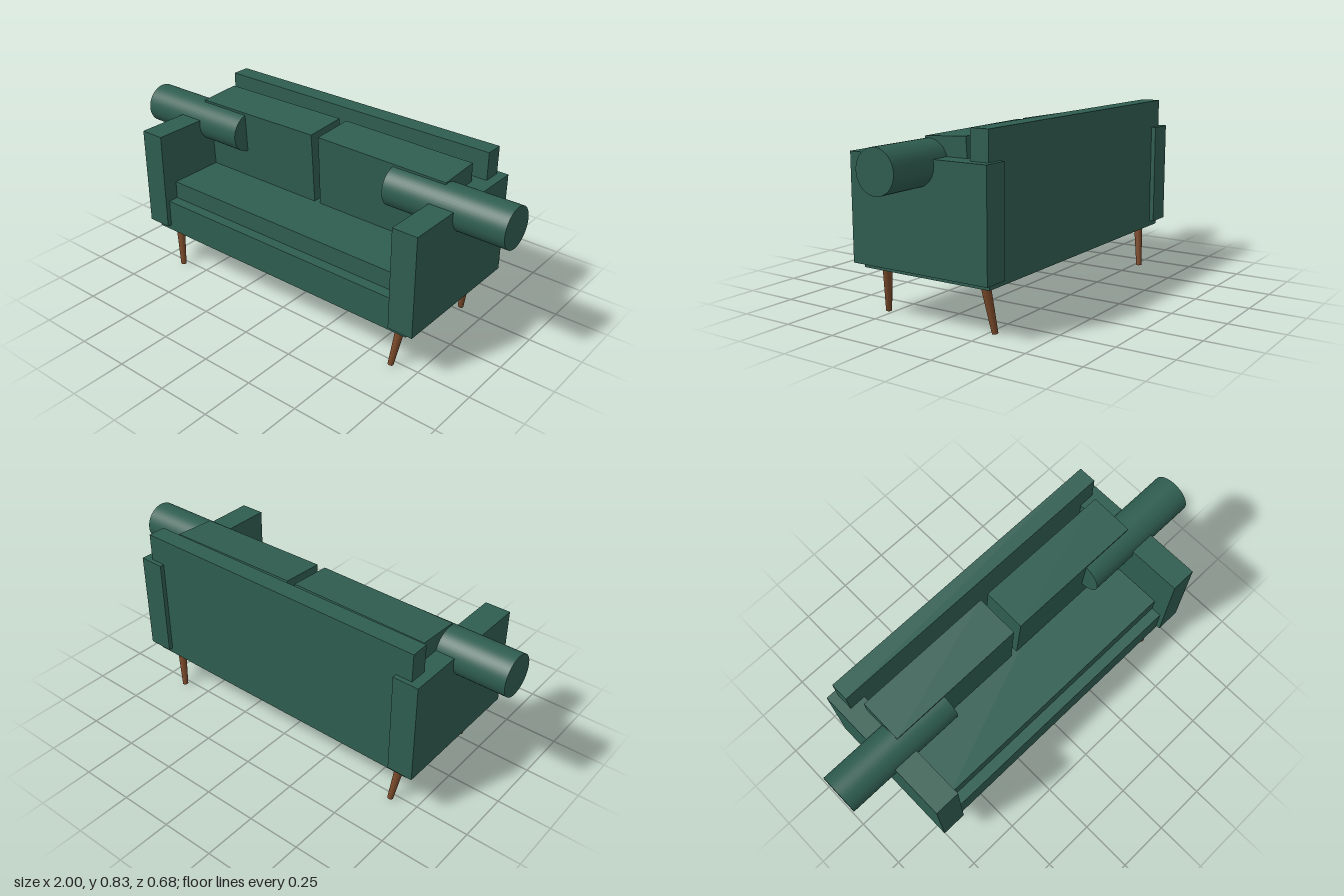
import * as THREE from 'three';

const fabric = new THREE.MeshStandardMaterial({ color: 0x2f5d50 });
const wood = new THREE.MeshStandardMaterial({ color: 0x7a4a2a });

// Box given by its extents on each axis
function box(name, [x0, x1], [y0, y1], [z0, z1]) {
  const mesh = new THREE.Mesh(new THREE.BoxGeometry(x1 - x0, y1 - y0, z1 - z0), fabric);
  mesh.position.set((x0 + x1) / 2, (y0 + y1) / 2, (z0 + z1) / 2);
  mesh.name = name;
  return mesh;
}

// Tapered leg running between two points
function leg(name, top, bottom) {
  const dir = top.clone().sub(bottom);
  const mesh = new THREE.Mesh(new THREE.CylinderGeometry(0.021, 0.013, dir.length(), 20), wood);
  mesh.position.copy(top).add(bottom).multiplyScalar(0.5);
  mesh.quaternion.setFromUnitVectors(new THREE.Vector3(0, 1, 0), dir.normalize());
  mesh.name = name;
  return mesh;
}

export function createModel() {
  const sofa = new THREE.Group();
  sofa.name = 'sofa';

  // Frame, backrest and seat
  sofa.add(
    box('base', [-0.725, 0.725], [0.207, 0.362], [-0.235, 0.32]),
    box('backrest', [-0.725, 0.725], [0.207, 0.83], [-0.32, -0.235]),
    box('seatCushion', [-0.65, 0.65], [0.362, 0.447], [-0.235, 0.27])
  );

  for (const s of [1, -1]) {
    const side = s > 0 ? 'left' : 'right';

    // Armrest
    const arm = box(side + 'Armrest', [0.65, 0.768], [0.233, 0.702], [-0.341, 0.341]);
    arm.position.x *= s;
    sofa.add(arm);

    // Loose back cushion, leaning slightly
    const cushion = box(side + 'BackCushion', [0.018, 0.68], [0.435, 0.787], [-0.193, 0.009]);
    cushion.position.x *= s;
    cushion.rotation.set(0.06, 0, -s * 0.01);
    sofa.add(cushion);

    // Bolster lying across the armrest
    const bolster = new THREE.Mesh(new THREE.CylinderGeometry(0.093, 0.093, 0.58, 48), fabric);
    bolster.rotation.z = Math.PI / 2;
    bolster.position.set(s * 0.71, 0.677, 0);
    bolster.name = side + 'Bolster';
    sofa.add(bolster);

    // Splayed legs
    for (const f of [1, -1]) {
      sofa.add(leg(
        side + (f > 0 ? 'FrontLeg' : 'BackLeg'),
        new THREE.Vector3(s * 0.661, 0.215, f * 0.253),
        new THREE.Vector3(s * 0.63, 0.002, f * 0.278)
      ));
    }
  }
  return sofa;
}
